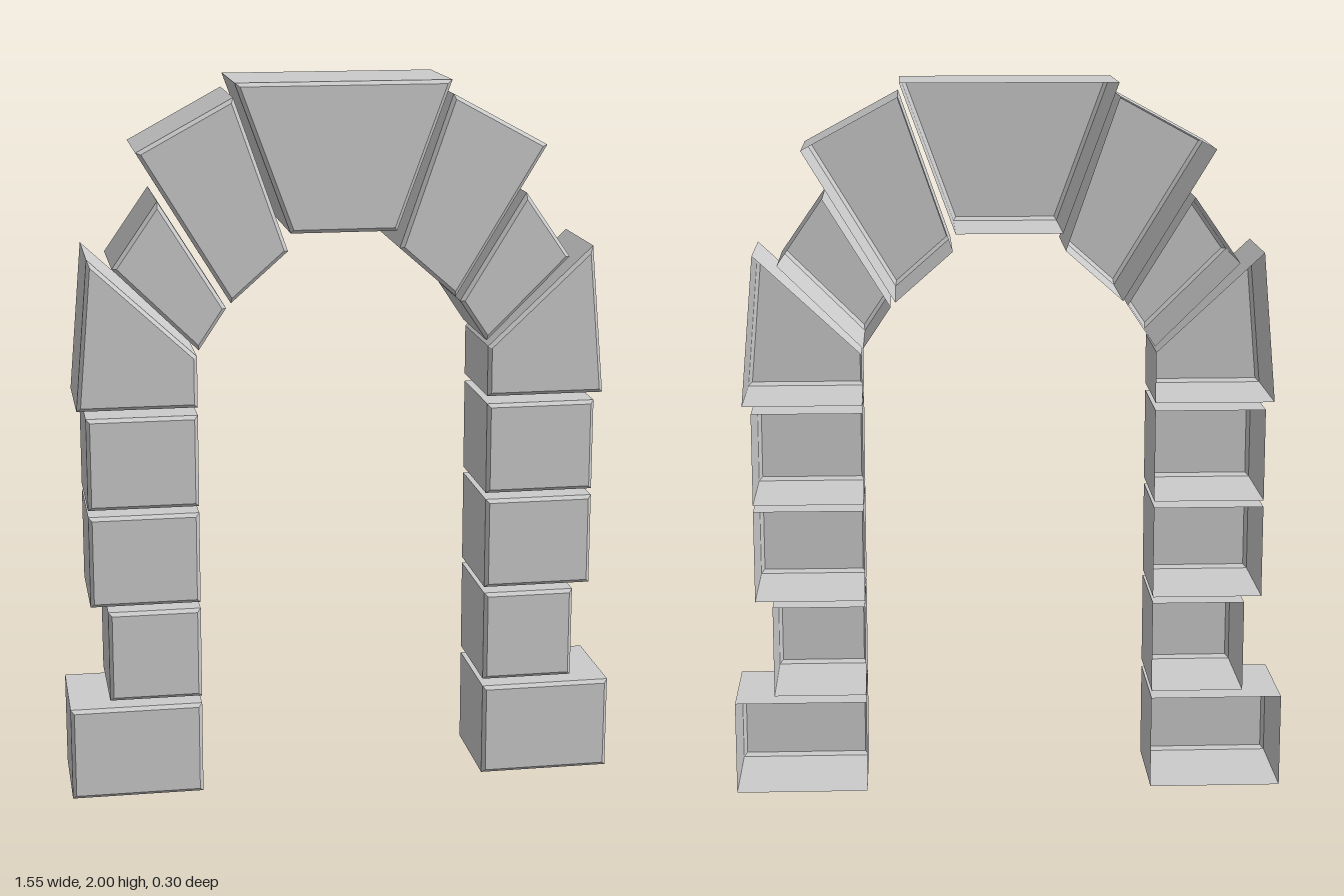
import * as THREE from 'three';

const DEPTH = 0.15, BEVEL = 0.01;
const material = new THREE.MeshStandardMaterial({ color: 0xcccccc, flatShading: true, side: THREE.DoubleSide });

// Shrink a convex counter-clockwise polygon by moving every edge inwards by d
function inset(points, d) {
  const n = points.length;
  const normal = (a, b) => new THREE.Vector2(a.y - b.y, b.x - a.x).normalize();
  return points.map((p, i) => {
    const n1 = normal(points[(i + n - 1) % n], p);
    const n2 = normal(p, points[(i + 1) % n]);
    return n1.clone().add(n2).multiplyScalar(d / (1 + n1.dot(n2))).add(p);
  });
}

// Hollow stone: front face, bevelled front rim and side walls, open at the back
function stone(name, corners) {
  let outline = corners.map(([x, y]) => new THREE.Vector2(x, y));
  if (THREE.ShapeUtils.isClockWise(outline)) outline = outline.reverse();
  const rings = [
    outline.map(p => [p.x, p.y, -DEPTH]),
    outline.map(p => [p.x, p.y, DEPTH - BEVEL]),
    inset(outline, BEVEL).map(p => [p.x, p.y, DEPTH]),
  ];
  const n = outline.length, positions = [];
  for (let r = 0; r < 2; r++) {
    for (let i = 0; i < n; i++) {
      const j = (i + 1) % n;
      const a = rings[r][i], b = rings[r][j], c = rings[r + 1][j], d = rings[r + 1][i];
      positions.push(...a, ...b, ...c, ...a, ...c, ...d);
    }
  }
  const front = rings[2];
  for (let i = 1; i < n - 1; i++) positions.push(...front[0], ...front[i], ...front[i + 1]);
  const geometry = new THREE.BufferGeometry();
  geometry.setAttribute('position', new THREE.Float32BufferAttribute(positions, 3));
  geometry.computeVertexNormals();
  const mesh = new THREE.Mesh(geometry, material);
  mesh.name = name;
  return mesh;
}

const block = (outer, y0, y1) => [[0.405, y0], [outer, y0], [outer, y1], [0.405, y1]];

// Stones of one half of the arch, from the ground up
const half = {
  BaseStone: block(0.775, 0, 0.265),
  LowerPierStone: block(0.663, 0.287, 0.546),
  MiddlePierStone: block(0.711, 0.564, 0.823),
  UpperPierStone: block(0.711, 0.842, 1.1),
  SpringerStone: [[0.405, 1.122], [0.735, 1.122], [0.698, 1.538], [0.405, 1.264]],
  LowerArchStone: [[0.4, 1.281], [0.631, 1.51], [0.506, 1.69], [0.324, 1.395]],
  UpperArchStone: [[0.311, 1.408], [0.561, 1.82], [0.299, 1.962], [0.154, 1.546]],
};

export function createModel() {
  const model = new THREE.Group();
  model.name = 'stoneArch';
  for (const [side, sign] of [['left', 1], ['right', -1]]) {
    for (const [name, corners] of Object.entries(half)) {
      model.add(stone(side + name, corners.map(([x, y]) => [sign * x, y])));
    }
  }
  model.add(stone('keystone', [[-0.146, 1.594], [0.146, 1.594], [0.295, 2], [-0.295, 2]]));
  return model;
}
